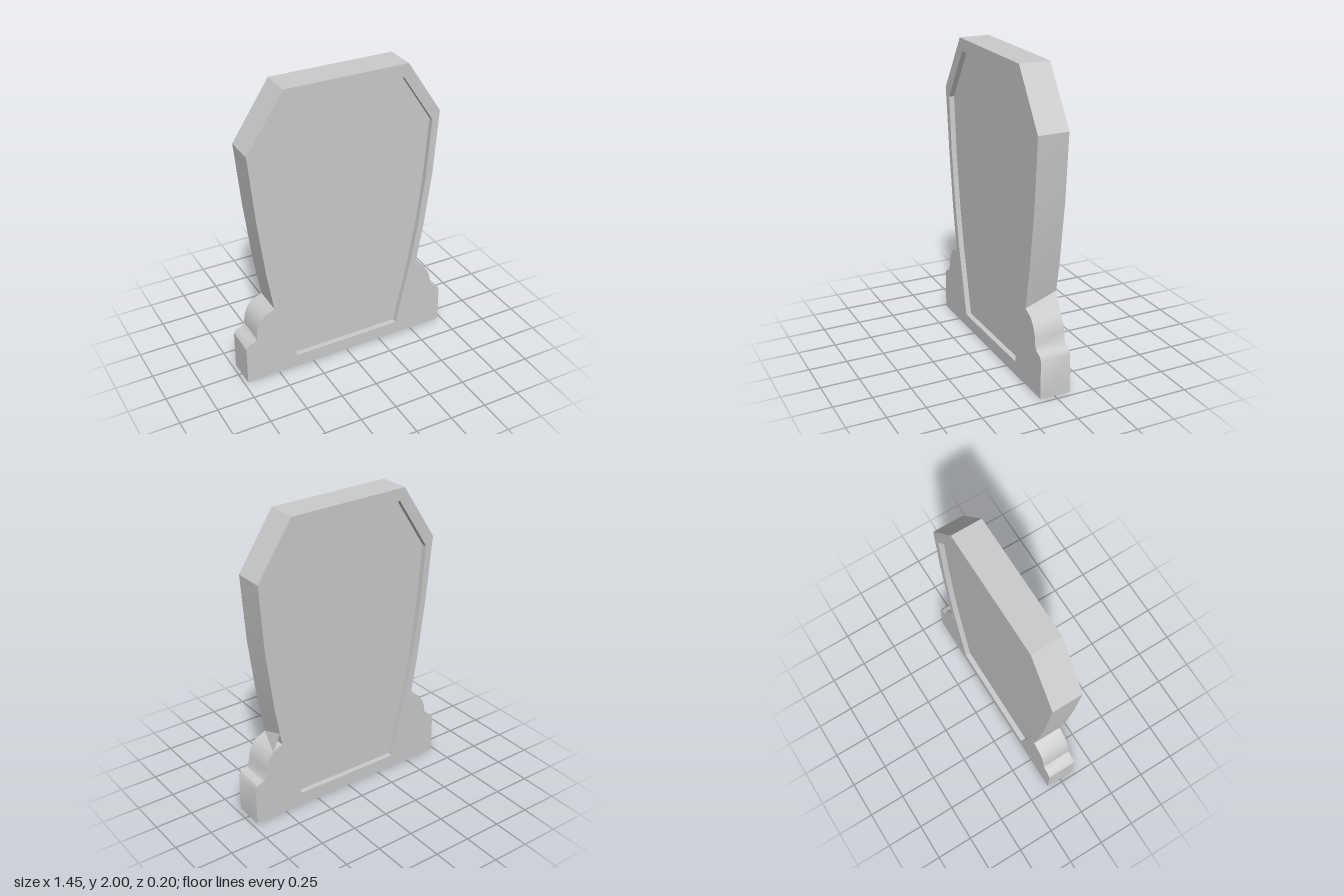
import * as THREE from 'three';
import { toCreasedNormals } from 'three/addons/utils/BufferGeometryUtils.js';

const HALF_DEPTH = 0.1;
const RECESS = 0.035;

const toPoints = (list) => list.map(([x, y]) => new THREE.Vector2(x, y));

// Outline of the stone and its stepped foot, counter-clockwise from bottom left
const OUTLINE = [
  [-0.725, 0], [0.72, 0.005],
  // right foot
  [0.72, 0.26], [0.705, 0.285], [0.66, 0.305], [0.646, 0.33], [0.64, 0.385],
  [0.62, 0.44], [0.585, 0.49], [0.515, 0.52],
  // coffin-shaped stone
  [0.53, 0.605], [0.565, 0.8], [0.617, 1.2], [0.648, 1.635], [0.41, 1.995],
  [-0.415, 2], [-0.658, 1.63], [-0.617, 1.2], [-0.567, 0.8], [-0.52, 0.518],
  // left foot
  [-0.59, 0.485], [-0.625, 0.44], [-0.645, 0.385], [-0.65, 0.325],
  [-0.665, 0.307], [-0.705, 0.292], [-0.725, 0.265],
];

// Outline of the sunken panel
const PANEL = [
  [-0.37, 0.09], [0.38, 0.095], [0.48, 0.57], [0.528, 0.85], [0.57, 1.2],
  [0.597, 1.58], [0.38, 1.91], [-0.38, 1.92], [-0.603, 1.575], [-0.575, 1.2],
  [-0.53, 0.85], [-0.48, 0.57],
];

export function createModel() {
  const group = new THREE.Group();
  group.name = 'gravestone';
  const stone = new THREE.MeshStandardMaterial({ color: 0xcccccc });
  const thin = new THREE.MeshStandardMaterial({ color: 0xcccccc, side: THREE.DoubleSide });

  const add = (name, geometry, material) => {
    const mesh = new THREE.Mesh(geometry, material);
    mesh.name = name;
    group.add(mesh);
    return mesh;
  };

  // Frame and foot in one slab, opened where the panel sits
  const frame = new THREE.Shape(toPoints(OUTLINE));
  frame.holes.push(new THREE.Path(toPoints(PANEL)));
  const slab = new THREE.ExtrudeGeometry(frame, { depth: HALF_DEPTH * 2, bevelEnabled: false });
  slab.translate(0, 0, -HALF_DEPTH);
  add('frameAndFoot', toCreasedNormals(slab, 0.6), stone);

  // Sunken panels on both faces
  for (const [name, side] of [['frontPanel', 1], ['backPanel', -1]]) {
    const panel = add(name, new THREE.ShapeGeometry(new THREE.Shape(toPoints(PANEL))), thin);
    panel.position.z = side * (HALF_DEPTH - RECESS);
    panel.scale.z = side;
  }

  // Small slanted web filling the notch above the right foot
  const web = new THREE.BufferGeometry().setFromPoints([
    new THREE.Vector3(0.515, 0.52, HALF_DEPTH),
    new THREE.Vector3(0.585, 0.49, -HALF_DEPTH),
    new THREE.Vector3(0.53, 0.605, -HALF_DEPTH),
  ]);
  web.computeVertexNormals();
  add('notchWeb', web, thin);

  return group;
}
